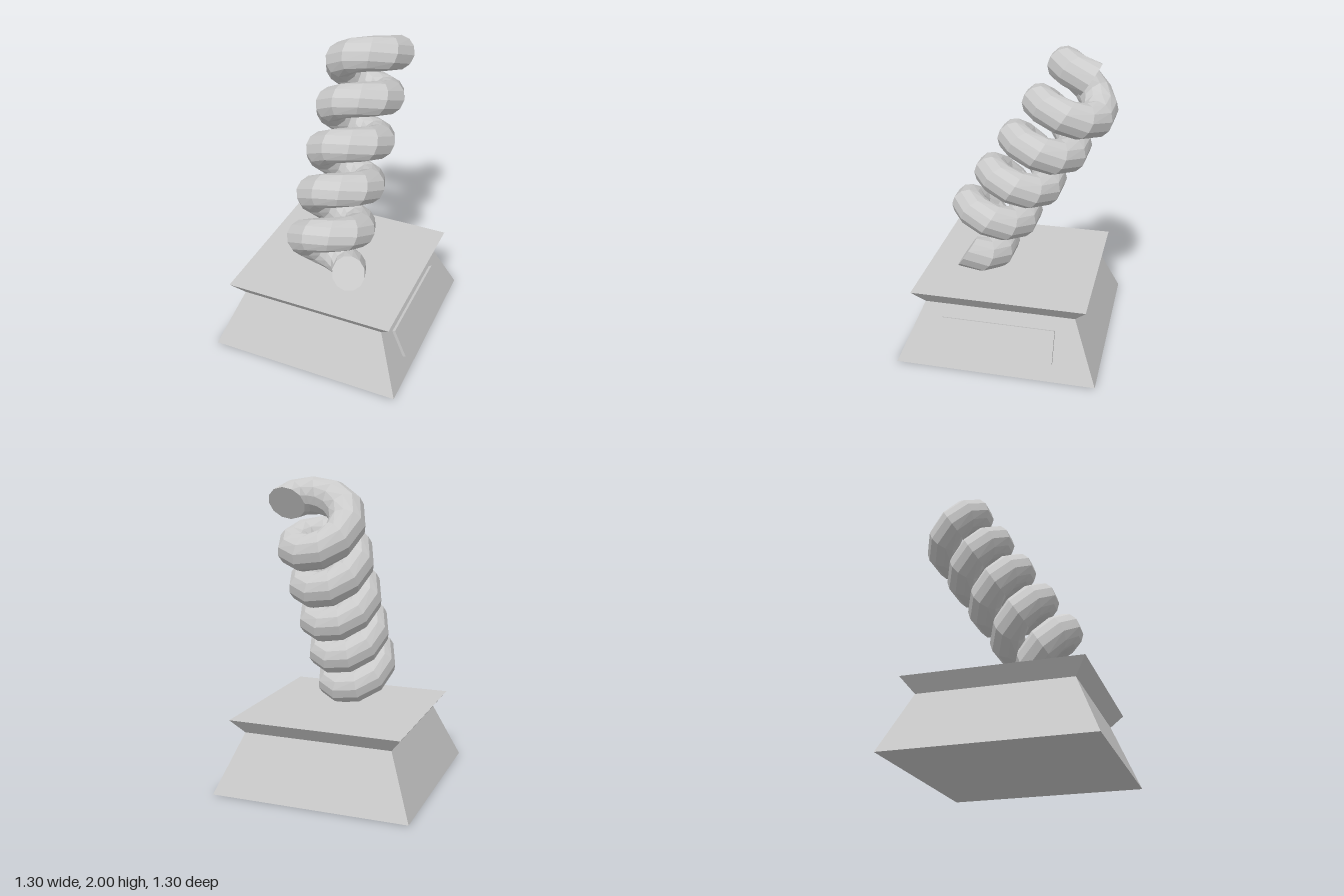
import * as THREE from 'three';

const material = new THREE.MeshStandardMaterial({ color: 0xcccccc, flatShading: true });

// Circle swept along a helix around y, starting on +x, with closed ends
function coilGeometry(turns, stepsPerTurn, coilRadius, tubeRadius, pitch, sides) {
  const steps = turns * stepsPerTurn;
  const positions = [];
  const index = [];
  for (let i = 0; i <= steps; i++) {
    const a = (i / stepsPerTurn) * Math.PI * 2;
    const h = (i / stepsPerTurn) * pitch;
    for (let j = 0; j < sides; j++) {
      const t = (j / sides) * Math.PI * 2;
      const r = coilRadius + tubeRadius * Math.cos(t);
      positions.push(r * Math.cos(a), h + tubeRadius * Math.sin(t), -r * Math.sin(a));
    }
  }
  for (let i = 0; i < steps; i++) {
    for (let j = 0; j < sides; j++) {
      const k = (j + 1) % sides;
      const p = i * sides, q = p + sides;
      index.push(p + j, q + j, q + k, p + j, q + k, p + k);
    }
  }
  // End caps
  const last = steps * sides;
  for (let j = 1; j < sides - 1; j++) {
    index.push(0, j, j + 1);
    index.push(last, last + j + 1, last + j);
  }
  const geometry = new THREE.BufferGeometry();
  geometry.setAttribute('position', new THREE.Float32BufferAttribute(positions, 3));
  geometry.setIndex(index);
  geometry.computeVertexNormals();
  return geometry;
}

export function createModel() {
  const model = new THREE.Group();
  model.name = 'coilTrophy';

  const add = (name, geometry) => {
    const mesh = new THREE.Mesh(geometry, material);
    mesh.name = name;
    model.add(mesh);
    return mesh;
  };

  // Square pedestal: tapered body, narrow neck, flared top
  const profile = [[0, 0], [0.65, 0], [0.49, 0.385], [0.565, 0.48], [0, 0.48]]
    .map(([half, y]) => new THREE.Vector2(half * Math.SQRT2, y));
  add('pedestal', new THREE.LatheGeometry(profile, 4, Math.PI / 4));

  // Plaque lying on the sloping +x face
  const plaque = add('plaque', new THREE.BoxGeometry(0.04, 0.212, 0.74));
  plaque.position.set(0.565, 0.205, 0);
  plaque.rotation.z = Math.atan2(0.16, 0.385);

  // Spring leaning backwards
  const coil = add('coil', coilGeometry(5, 10, 0.176, 0.115, 0.2925, 12));
  coil.position.set(0, 0.612, 0.29);
  coil.rotation.x = -0.566;

  return model;
}
